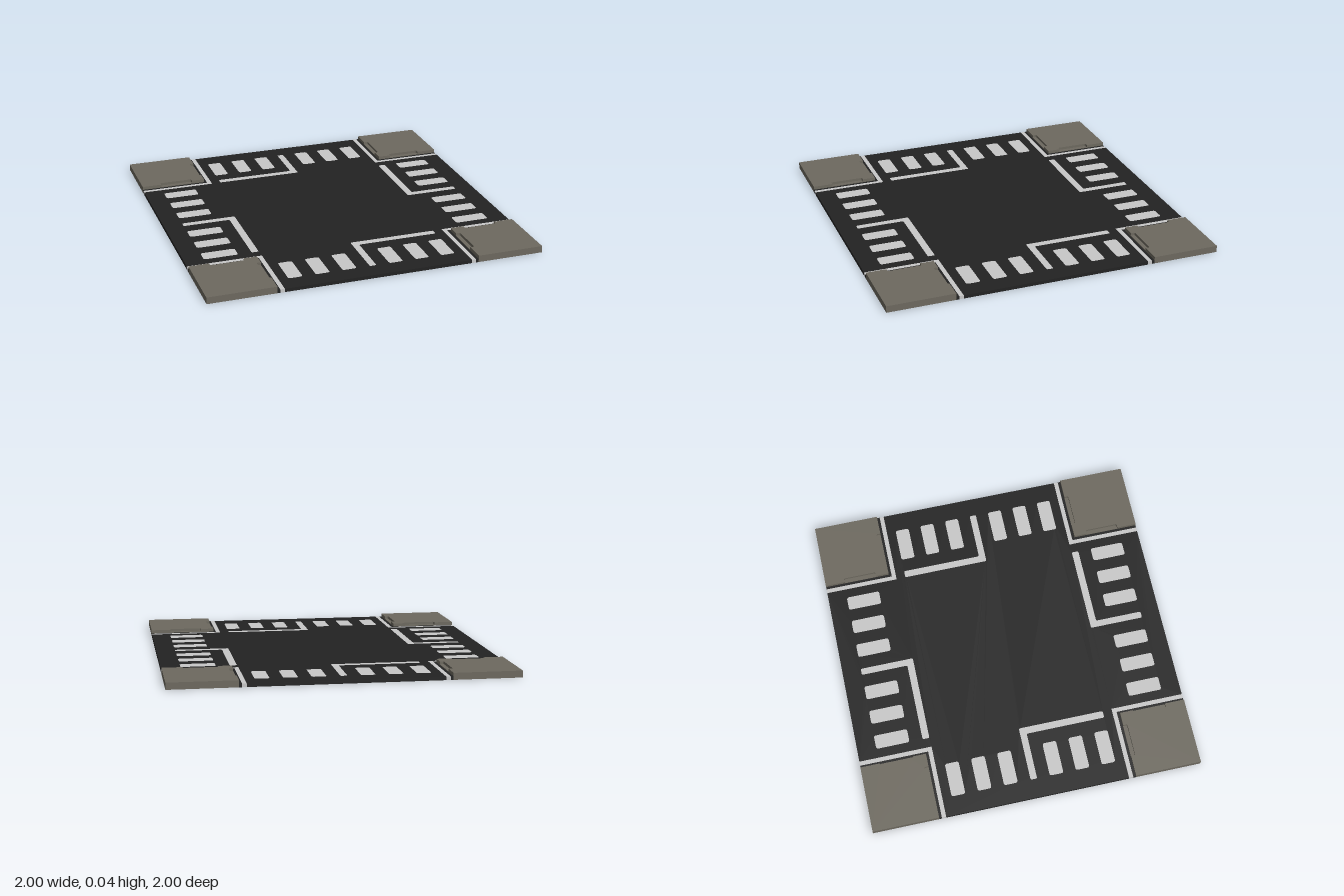
import * as THREE from 'three';

const ROAD_H = 0.02, LEDGE_H = 0.024, KERB_H = 0.04;
const KERB = 0.6, LINE_OUT = 0.584, LINE_IN = 0.558;

// Closed outline from [x, z] points, corners cut by r to soften them
function outline(points, r = 0, Type = THREE.Shape) {
  const path = new Type();
  const n = points.length;
  points.forEach((p, i) => {
    const c = new THREE.Vector2(...p);
    const a = new THREE.Vector2(...points[(i + n - 1) % n]).sub(c).setLength(r).add(c);
    const b = new THREE.Vector2(...points[(i + 1) % n]).sub(c).setLength(r).add(c);
    if (i === 0) path.moveTo(a.x, a.y); else path.lineTo(a.x, a.y);
    if (r > 0) path.quadraticCurveTo(c.x, c.y, b.x, b.y);
  });
  path.closePath();
  return path;
}

// Upright slab from a plan shape, between heights y0 and y1
function slab(shape, y0, y1) {
  const g = new THREE.ExtrudeGeometry(shape, { depth: y1 - y0, bevelEnabled: false, curveSegments: 3 });
  g.rotateX(Math.PI / 2);
  g.translate(0, y1, 0);
  return g;
}

const rect = (x0, x1, z0, z1) => [[x0, z0], [x1, z0], [x1, z1], [x0, z1]];

// L-shaped band around the back left corner
const corner = (outer, inner) => [
  [-1, -outer], [-outer, -outer], [-outer, -1], [-inner, -1], [-inner, -inner], [-1, -inner],
];

export function createModel() {
  const model = new THREE.Group();
  model.name = 'crossroads';
  const asphalt = new THREE.MeshStandardMaterial({ name: 'asphalt', color: 0x222222 });
  const paint = new THREE.MeshStandardMaterial({ name: 'roadPaint', color: 0xc8c8c8 });
  const stone = new THREE.MeshStandardMaterial({ name: 'pavementStone', color: 0x6d695f });

  const add = (parent, name, geometry, material) => {
    const mesh = new THREE.Mesh(geometry, material);
    mesh.name = name;
    parent.add(mesh);
  };

  // Markings of the back arm: six crossing bars and a centre line joined to the stop line
  const markings = [];
  for (const x of [-0.46, -0.3, -0.14, 0.14, 0.3, 0.46]) {
    markings.push({ name: 'crossingBar', points: rect(x - 0.042, x + 0.042, -0.886, -0.682), r: 0.014 });
  }
  markings.push({
    name: 'stopLine', r: 0.009,
    points: [[-0.502, -0.602], [-0.02, -0.602], [-0.02, -0.886], [0.02, -0.886], [0.02, -0.56], [-0.502, -0.56]],
  });

  // Road cross with openings that the markings fill
  const i = LINE_IN;
  const road = outline([
    [-i, -1], [i, -1], [i, -i], [1, -i], [1, i], [i, i],
    [i, 1], [-i, 1], [-i, i], [-1, i], [-1, -i], [-i, -i],
  ]);
  for (let k = 0; k < 4; k++) {
    for (const m of markings) {
      const turned = m.points.map(([x, z]) => {
        for (let t = 0; t < k; t++) [x, z] = [z, -x];
        return [x, z];
      });
      road.holes.push(outline(turned, m.r, THREE.Path));
    }
  }
  add(model, 'road', slab(road, 0, ROAD_H), asphalt);

  // Pavement tops have a shallow drain recess on each inner side
  const k = KERB, d = 0.625;
  const pavementTop = outline([
    [-1, -1], [-k, -1],
    [-k, -0.88], [-d + 0.005, -0.88], [-d, -0.875], [-d, -0.685], [-d + 0.005, -0.68], [-k, -0.68],
    [-k, -k],
    [-0.68, -k], [-0.68, -d + 0.005], [-0.685, -d], [-0.875, -d], [-0.88, -d + 0.005], [-0.88, -k],
    [-1, -k],
  ]);

  // One arm and one corner, repeated around the centre
  for (let q = 0; q < 4; q++) {
    const quarter = new THREE.Group();
    quarter.name = 'quarter';
    quarter.rotation.y = q * Math.PI / 2;
    for (const m of markings) add(quarter, m.name, slab(outline(m.points, m.r), 0, ROAD_H), paint);
    add(quarter, 'edgeLine', slab(outline(corner(LINE_OUT, LINE_IN)), 0, ROAD_H), paint);
    add(quarter, 'gutter', slab(outline(corner(KERB, LINE_OUT)), 0, ROAD_H), asphalt);
    add(quarter, 'pavementBase', slab(outline(rect(-1, -k, -1, -k)), 0, LEDGE_H), stone);
    add(quarter, 'pavementTop', slab(pavementTop, LEDGE_H, KERB_H), stone);
    model.add(quarter);
  }
  return model;
}
